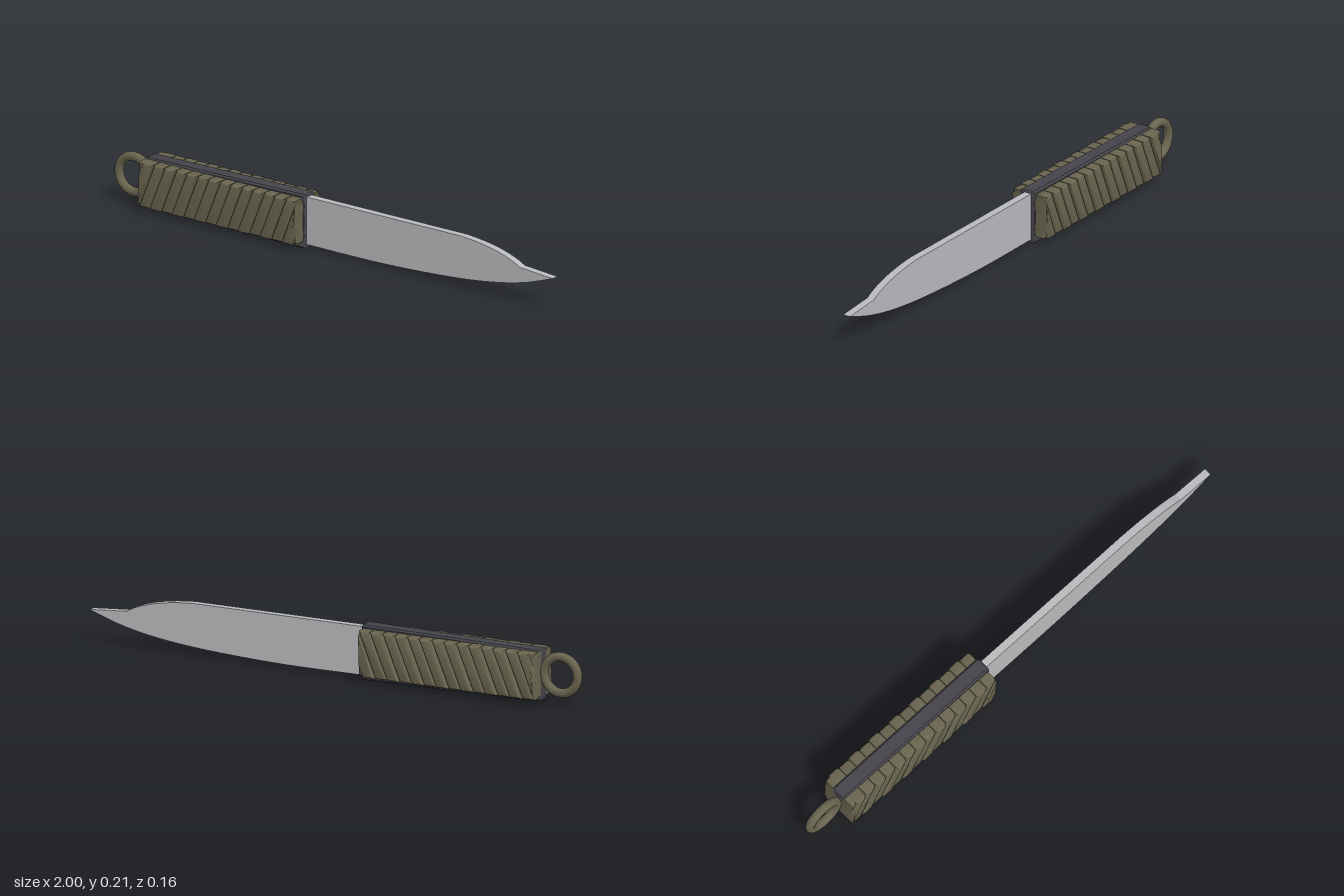
import * as THREE from 'three';
import { toCreasedNormals } from 'three/addons/utils/BufferGeometryUtils.js';

const steel = new THREE.MeshStandardMaterial({ name: 'steel', color: 0xb9babd });
const darkCore = new THREE.MeshStandardMaterial({ name: 'dark core', color: 0x45444b });
const olive = new THREE.MeshStandardMaterial({ name: 'olive cord', color: 0x69644f });

const X0 = -0.84, X1 = -0.125;   // ends of the grip
const Y0 = 0.022, Y1 = 0.194;    // lower and upper edge of the wrap

function polygon(points) {
  return new THREE.Shape(points.map(([x, y]) => new THREE.Vector2(x, y)));
}

function addMesh(parent, name, geometry, material) {
  const mesh = new THREE.Mesh(geometry, material);
  mesh.name = name;
  parent.add(mesh);
  return mesh;
}

// Extrusion with rounded edges that stays inside its outline, from z = 0 to depth
function roundedExtrude(shape, depth, r) {
  const g = new THREE.ExtrudeGeometry(shape, {
    depth: depth - 2 * r, bevelEnabled: true, bevelThickness: r, bevelSize: r,
    bevelOffset: -r, bevelSegments: 3, curveSegments: 8,
  });
  g.translate(0, 0, r);
  return toCreasedNormals(g, 0.7);
}

// Cut a convex outline at a vertical line, keeping the side given by sign
function clip(points, x, sign) {
  const out = [];
  points.forEach((a, i) => {
    const b = points[(i + 1) % points.length];
    const da = (a[0] - x) * sign, db = (b[0] - x) * sign;
    if (da >= 0) out.push(a);
    if (da * db < 0) {
      const t = da / (da - db);
      out.push([x, a[1] + t * (b[1] - a[1])]);
    }
  });
  return out;
}

function createBlade() {
  const s = new THREE.Shape();
  s.moveTo(-0.16, 0.014);
  s.lineTo(-0.1, 0.014);
  s.splineThru([[0.2, 0.014], [0.49, 0.026], [0.7, 0.046], [0.864, 0.077], [1, 0.121]]
    .map(([x, y]) => new THREE.Vector2(x, y)));
  s.lineTo(0.85, 0.133);
  s.bezierCurveTo(0.8, 0.165, 0.7, 0.19, 0.58, 0.196);
  s.lineTo(-0.16, 0.196);
  const g = new THREE.ExtrudeGeometry(s, { depth: 0.03, bevelEnabled: false, curveSegments: 16 });
  g.translate(0, 0, -0.015);
  return toCreasedNormals(g, 0.35);
}

// Core with thick rims and a narrow waist, tapering to the rear
function createCore() {
  const half = [[0.024, 0], [0.031, 0.007], [0.031, 0.025], [0.025, 0.045],
    [0.028, 0.08], [0.028, 0.128], [0.025, 0.163], [0.031, 0.183], [0.031, 0.2], [0.024, 0.207]];
  const outline = [...half, ...half.slice().reverse().map(([x, y]) => [-x, y])];
  const g = roundedExtrude(polygon(outline), 0.722, 0.004);
  g.rotateY(Math.PI / 2);
  g.translate(X0, 0, 0);
  const p = g.attributes.position;
  for (let i = 0; i < p.count; i++) {
    const t = (p.getX(i) - X0) / 0.722;
    p.setY(i, 0.1045 + (p.getY(i) - 0.1045) * (0.92 + 0.08 * t));
  }
  return g;
}

// One side of the wrap: a backing slab under slanted cords
function createWrap() {
  const wrap = new THREE.Group();
  const slab = polygon([[X0 + 0.01, Y0 + 0.012], [X1 - 0.01, Y0 + 0.012],
    [X1 - 0.01, Y1 - 0.012], [X0 + 0.01, Y1 - 0.012]]);
  addMesh(wrap, 'wrapBacking', roundedExtrude(slab, 0.062, 0.008), olive);

  const pitch = 0.05, width = 0.047, slant = 0.07;
  for (let i = -1; i < 14; i++) {
    const x = X0 + i * pitch;
    let outline = [[x, Y0], [x + width, Y0], [x + width + slant, Y1], [x + slant, Y1]];
    outline = clip(clip(outline, X0, 1), X1, -1);
    const depth = i % 2 ? 0.078 : 0.074;
    addMesh(wrap, 'cord', roundedExtrude(polygon(outline), depth, 0.011), olive);
  }
  // Short end turns that square off the two corners
  const rear = [[X0, Y0 + 0.08], [X0 + 0.037, Y1 - 0.02], [X0 + 0.037, Y1], [X0, Y1]];
  const front = [[X1 - 0.045, Y0 + 0.005], [X1, Y0 + 0.005], [X1, Y0 + 0.1]];
  for (const o of [rear, front]) {
    addMesh(wrap, 'cordEnd', roundedExtrude(polygon(o), 0.07, 0.008), olive);
  }
  return wrap;
}

export function createModel() {
  const model = new THREE.Group();
  model.name = 'knife';
  addMesh(model, 'blade', createBlade(), steel);
  addMesh(model, 'handleCore', createCore(), darkCore);

  // Both sides lean the same way along the grip
  const frontWrap = createWrap();
  frontWrap.name = 'frontWrap';
  const backWrap = createWrap();
  backWrap.name = 'backWrap';
  backWrap.scale.z = -1;
  model.add(frontWrap, backWrap);

  // Lanyard ring at the rear
  const ring = addMesh(model, 'lanyardRing', new THREE.TorusGeometry(0.068, 0.017, 12, 36), olive);
  ring.position.set(-0.915, 0.111, 0);
  return model;
}
